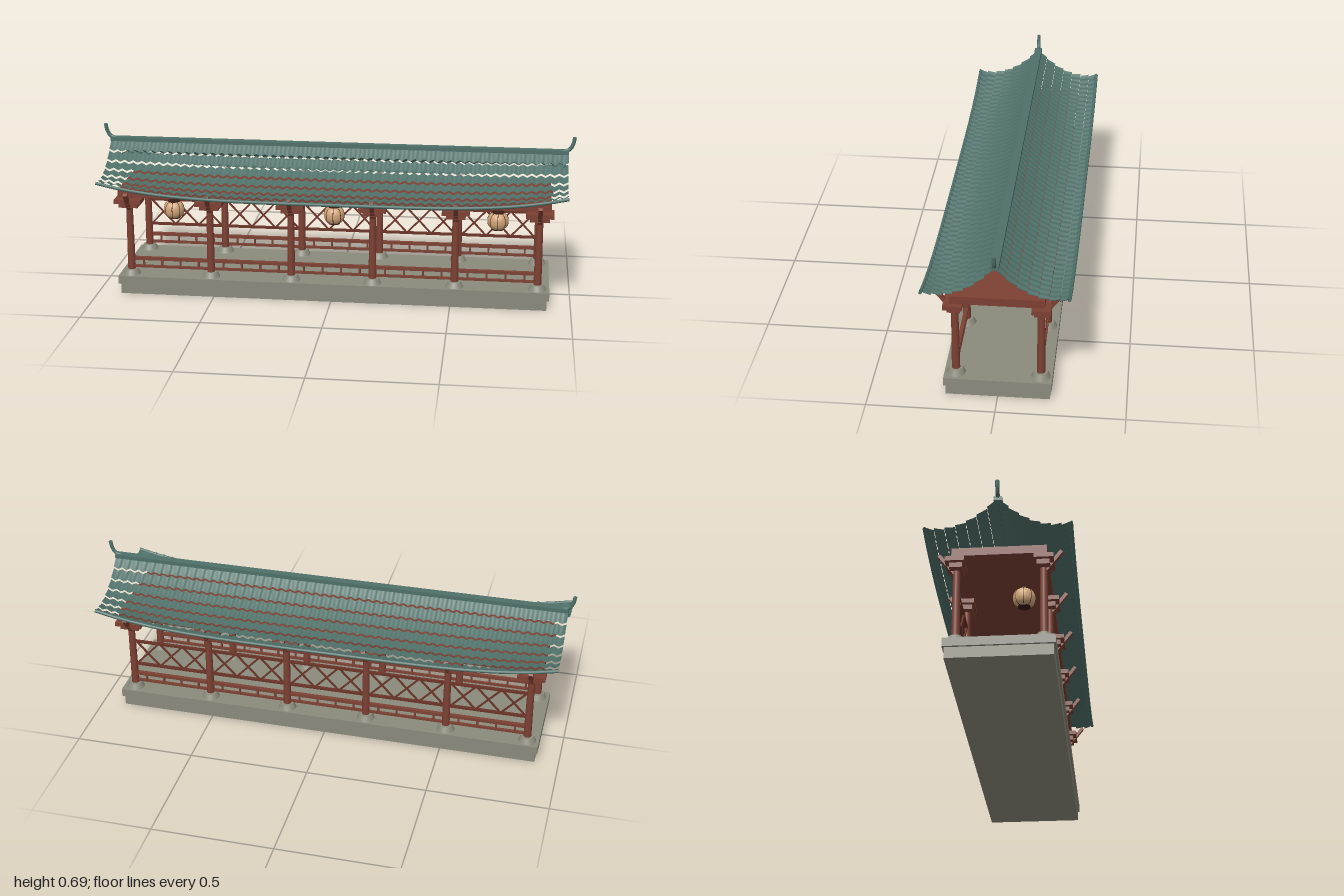
import * as THREE from 'three';

const mat = (name, color, opts = {}) => {
  const m = new THREE.MeshStandardMaterial({ color, ...opts });
  m.name = name;
  return m;
};

export function createModel() {
  const stone = mat('stone', 0x8a8a7c);
  const wood = mat('red wood', 0x7d4033);
  const lattice = mat('dark red wood', 0x6b3328);
  const tile = mat('teal tile', 0x4f7069, { side: THREE.DoubleSide });
  const paper = mat('lantern paper', 0xd2a679);
  const dark = mat('dark trim', 0x3a1c14);

  const root = new THREE.Group();
  root.name = 'pavilion';
  const group = (name, parent = root) => {
    const g = new THREE.Group();
    g.name = name;
    parent.add(g);
    return g;
  };
  const add = (parent, name, geo, m, x = 0, y = 0, z = 0) => {
    const mesh = new THREE.Mesh(geo, m);
    mesh.name = name;
    mesh.position.set(x, y, z);
    parent.add(mesh);
    return mesh;
  };
  // Box given by its centre x and z, and its bottom and top
  const box = (parent, name, m, x, z, w, d, y0, y1) =>
    add(parent, name, new THREE.BoxGeometry(w, y1 - y0, d), m, x, (y0 + y1) / 2, z);

  // Stone platform
  box(root, 'platformBase', stone, 0, 0, 1.8, 0.406, 0, 0.044);
  box(root, 'platformTop', stone, 0, 0, 1.82, 0.42, 0.044, 0.079);

  // Ceiling slab
  box(root, 'ceilingBeam', wood, 0, 0, 1.81, 0.362, 0.422, 0.455);

  // Columns with stone feet, stepped brackets and eave struts
  const spacing = 0.344, colZ = 0.165;
  const footGeo = new THREE.CylinderGeometry(0.027, 0.038, 0.023, 20);
  const postGeo = new THREE.CylinderGeometry(0.0135, 0.0165, 0.325, 16);
  const strutGeo = new THREE.BoxGeometry(0.018, 0.1, 0.014);
  for (const s of [1, -1]) {
    for (let i = 0; i < 6; i++) {
      const x = (i - 2.5) * spacing;
      const col = group('column');
      add(col, 'columnFoot', footGeo, stone, x, 0.0905, s * colZ);
      add(col, 'columnPost', postGeo, wood, x, 0.2625, s * colZ);
      box(col, 'lowerBracket', wood, x, s * colZ, 0.08, 0.05, 0.378, 0.398);
      box(col, 'upperBracket', wood, x, s * (colZ + 0.003), 0.114, 0.074, 0.398, 0.416);
      box(col, 'bracketNeck', wood, x, s * colZ, 0.03, 0.028, 0.416, 0.423);
      add(col, 'eaveStrut', strutGeo, wood, x, 0.409, s * 0.203).rotation.x = s * 0.66;
    }
  }

  // Railings between columns: low rails on both sides, crossed lattice at the back
  const bayW = spacing - 0.028;
  const y0 = 0.197, y1 = 0.31, cells = 3, cellW = bayW / cells;
  const diagLen = Math.hypot(cellW, y1 - y0), diagAngle = Math.atan2(y1 - y0, cellW);
  const diagGeo = new THREE.BoxGeometry(diagLen, 0.007, 0.006);
  for (let b = -2; b <= 2; b++) {
    const cx = b * spacing;
    for (const s of [1, -1]) {
      const rail = group('lowRailing');
      box(rail, 'seatRail', wood, cx, s * colZ, bayW, 0.016, 0.142, 0.155);
      box(rail, 'footRail', wood, cx, s * colZ, bayW, 0.01, 0.108, 0.118);
      for (let i = 0; i < 4; i++) {
        box(rail, 'baluster', wood, cx + (i - 1.5) * bayW / 4, s * colZ, 0.008, 0.008, 0.118, 0.142);
      }
    }
    const panel = group('latticePanel');
    box(panel, 'latticeBottomRail', lattice, cx, -colZ, bayW, 0.012, y0 - 0.005, y0 + 0.005);
    box(panel, 'latticeTopRail', lattice, cx, -colZ, bayW, 0.012, y1 - 0.005, y1 + 0.005);
    for (let i = 0; i < cells; i++) {
      for (const s of [1, -1]) {
        const bar = add(panel, 'latticeBar', diagGeo, lattice,
          cx + (i - 1) * cellW, (y0 + y1) / 2, -colZ + s * 0.002);
        bar.rotation.z = s * diagAngle;
      }
    }
  }

  // Roof surface: concave slope, with eaves that lift toward the ends
  const halfX = 0.97, reach = 0.28;
  const roofY = (x, z) => {
    const t = z / reach;
    return 0.447 + 0.178 * Math.pow(Math.max(0, 1 - t), 1.95)
      + 0.06 * Math.pow(Math.abs(x) / halfX, 4) * Math.pow(t, 1.4);
  };
  const rows = 7, rowD = reach / rows, tiles = 52;
  const rowGeos = Array.from({ length: rows }, (_, r) => {
    const geo = new THREE.PlaneGeometry(2 * halfX, rowD, tiles * 4, 2);
    geo.rotateX(-Math.PI / 2).translate(0, 0, (r + 0.5) * rowD);
    const p = geo.attributes.position;
    for (let i = 0; i < p.count; i++) {
      const x = p.getX(i), z = Math.max(0, p.getZ(i));
      const wave = 0.005 * Math.cos((x / halfX) * Math.PI * tiles);
      p.setY(i, roofY(x, z) + 0.009 * (z / rowD - r) - 0.004 + wave);
    }
    geo.computeVertexNormals();
    return geo;
  });
  const eavePoints = Array.from({ length: 25 }, (_, i) => {
    const x = halfX * (i / 12 - 1);
    return new THREE.Vector3(x, roofY(x, reach) + 0.001, 0.276);
  });
  const eaveGeo = new THREE.TubeGeometry(new THREE.CatmullRomCurve3(eavePoints), 64, 0.007, 8);
  for (const turn of [0, Math.PI]) {
    const slope = group('roofSlope');
    slope.rotation.y = turn;
    rowGeos.forEach((g) => add(slope, 'tileRow', g, tile));
    add(slope, 'eaveEdge', eaveGeo, tile);
  }

  // Ridge with upturned ends
  box(root, 'ridge', tile, 0, 0, 1.94, 0.032, 0.62, 0.637);
  const hookCurve = new THREE.CatmullRomCurve3([
    [0.945, 0.63], [0.972, 0.64], [0.986, 0.662], [0.992, 0.691],
  ].map(([x, y]) => new THREE.Vector3(x, y, 0)));
  const hookGeo = new THREE.TubeGeometry(hookCurve, 16, 0.008, 10);
  const tipGeo = new THREE.CylinderGeometry(0.008, 0.008, 0.003, 10);
  for (const turn of [0, Math.PI]) {
    const hook = group('ridgeEnd');
    hook.rotation.y = turn;
    add(hook, 'ridgeHook', hookGeo, tile);
    add(hook, 'ridgeTip', tipGeo, tile, 0.992, 0.6905, 0);
  }

  // Hanging lanterns with ribs, caps and cords
  const profile = [[0.024, -0.035], [0.036, -0.026], [0.042, -0.012], [0.043, 0],
    [0.042, 0.012], [0.036, 0.026], [0.024, 0.035]];
  const bodyGeo = new THREE.LatheGeometry(
    new THREE.SplineCurve(profile.map(([r, y]) => new THREE.Vector2(r, y))).getPoints(18), 24);
  const ribGeo = new THREE.TubeGeometry(new THREE.CatmullRomCurve3(
    profile.map(([r, y]) => new THREE.Vector3(r, y, 0))), 16, 0.0013, 5);
  const capGeo = new THREE.CylinderGeometry(0.025, 0.025, 0.005, 20);
  const cordGeo = new THREE.CylinderGeometry(0.0012, 0.0012, 0.042, 6);
  for (const x of [-0.688, 0, 0.688]) {
    const lantern = group('lantern');
    lantern.position.set(x, 0.345, 0.077);
    add(lantern, 'lanternBody', bodyGeo, paper);
    add(lantern, 'lanternTopCap', capGeo, dark, 0, 0.036, 0);
    add(lantern, 'lanternBottomCap', capGeo, dark, 0, -0.036, 0);
    add(lantern, 'lanternCord', cordGeo, dark, 0, 0.058, 0);
    for (let i = 0; i < 8; i++) {
      add(lantern, 'lanternRib', ribGeo, dark).rotation.y = i * Math.PI / 4;
    }
  }
  return root;
}
